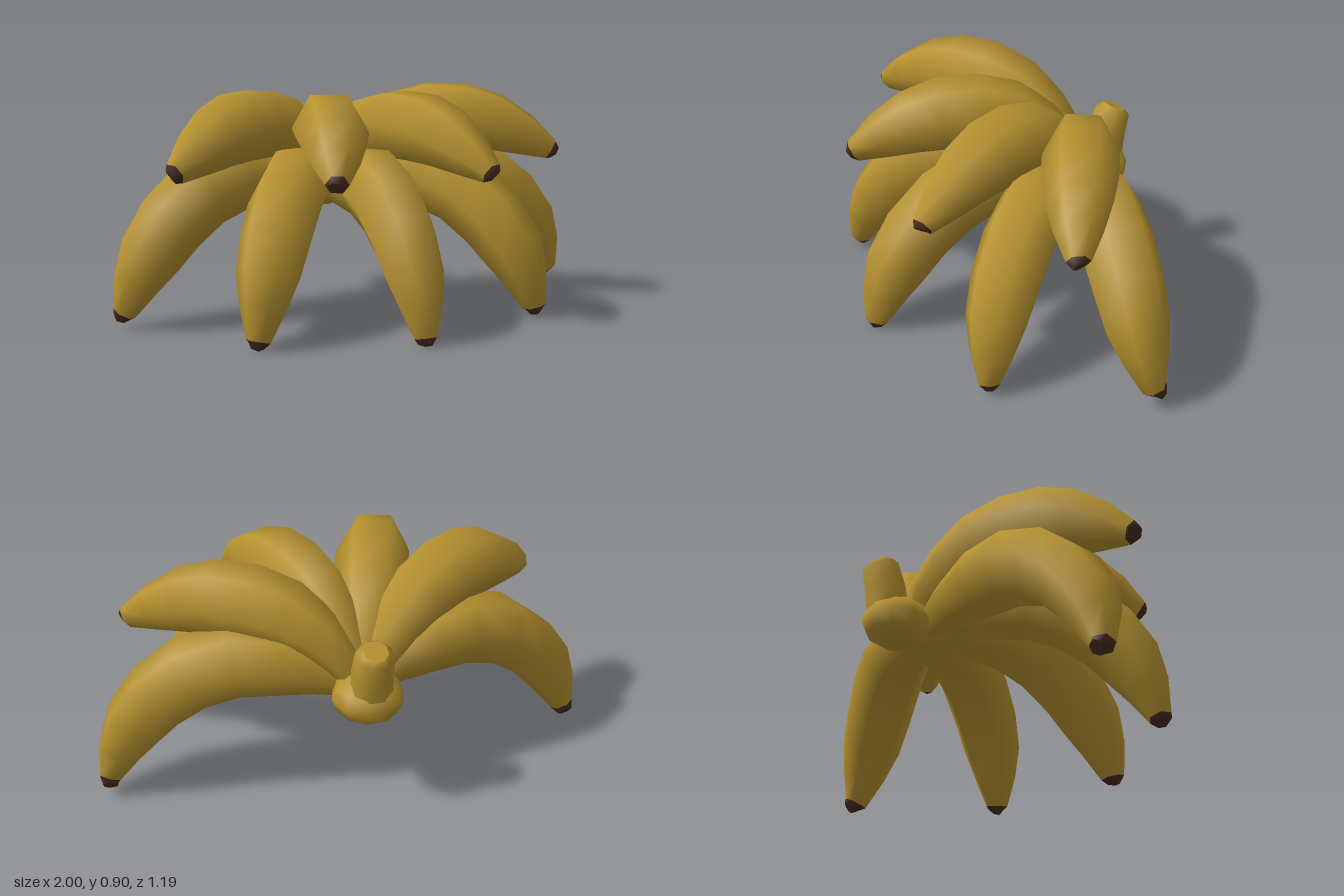
import * as THREE from 'three';

const peel = new THREE.MeshStandardMaterial({ color: 0xb5912f });
peel.name = 'peel';
const tipBrown = new THREE.MeshStandardMaterial({ color: 0x452a1e });
tipBrown.name = 'tipBrown';

const PIVOT = new THREE.Vector3(-0.006, 0, -0.43);

// Profiles: [distance from the crown, height, radius]
const LOWER = [
  [0.02, 0.475, 0.06], [0.15, 0.525, 0.1], [0.31, 0.555, 0.135], [0.47, 0.555, 0.147],
  [0.64, 0.49, 0.147], [0.775, 0.38, 0.14], [0.87, 0.26, 0.125], [0.93, 0.15, 0.092],
  [0.978, 0.032, 0.048], [0.985, 0.01, 0.03],
];
const UPPER = [
  [0.03, 0.50, 0.05], [0.08, 0.59, 0.08], [0.18, 0.68, 0.108], [0.31, 0.748, 0.136],
  [0.45, 0.775, 0.147], [0.6, 0.77, 0.145], [0.73, 0.74, 0.127], [0.86, 0.685, 0.092],
  [0.972, 0.626, 0.046], [0.99, 0.616, 0.032],
];
const STEM = [
  [0.05, 0.48, 0.082], [0.068, 0.62, 0.08], [0.093, 0.708, 0.074], [0.104, 0.73, 0.048],
];

// Sweeps a polygon ring along a profile at the given yaw; bow pushes its near part forward
function sweep(profile, yaw, sides, bow = 0) {
  const dir = new THREE.Vector3(Math.sin(yaw), 0, Math.cos(yaw));
  const across = new THREE.Vector3(-Math.cos(yaw), 0, Math.sin(yaw));
  const pos = [], index = [], n = profile.length;
  const centres = profile.map(([r, y], k) => {
    const c = dir.clone().multiplyScalar(r).setY(y).add(PIVOT);
    c.z += bow * Math.cos((Math.PI / 2) * (k / (n - 1)) ** 2);
    return c;
  });

  const addRing = (k) => {
    const T = centres[Math.min(k + 1, n - 1)].clone().sub(centres[Math.max(k - 1, 0)]).normalize();
    const N = across.clone().cross(T).normalize();
    const B = T.clone().cross(N);
    const radius = profile[k][2];
    for (let i = 0; i < sides; i++) {
      const t = ((i + 0.5) / sides) * Math.PI * 2;
      const p = centres[k].clone()
        .addScaledVector(N, radius * Math.cos(t)).addScaledVector(B, radius * Math.sin(t));
      pos.push(p.x, p.y, p.z);
    }
  };

  for (let k = 0; k < n; k++) addRing(k);
  for (let k = 0; k < n - 1; k++) {
    for (let i = 0; i < sides; i++) {
      const j = (i + 1) % sides, a = k * sides, b = a + sides;
      index.push(a + i, a + j, b + j, a + i, b + j, b + i);
    }
  }
  // Flat end cap with its own vertices
  const cap = n * sides;
  addRing(n - 1);
  for (let i = 1; i < sides - 1; i++) index.push(cap, cap + i, cap + i + 1);

  const geo = new THREE.BufferGeometry();
  geo.setAttribute('position', new THREE.Float32BufferAttribute(pos, 3));
  geo.setIndex(index);
  geo.computeVertexNormals();
  // The last band and the cap form the dark tip
  const bodyCount = (n - 2) * sides * 6;
  geo.addGroup(0, bodyCount, 0);
  geo.addGroup(bodyCount, index.length - bodyCount, 1);
  return geo;
}

function addBanana(group, name, profile, degrees, stretch, lift, bow) {
  const bent = profile.map(([r, y, radius]) => [r * stretch, y + lift * r, radius]);
  const geo = sweep(bent, THREE.MathUtils.degToRad(degrees), 6, bow);
  const mesh = new THREE.Mesh(geo, [peel, tipBrown]);
  mesh.name = name;
  group.add(mesh);
}

export function createModel() {
  const group = new THREE.Group();
  group.name = 'bananaBunch';

  // Lower row: [yaw in degrees, stretch, lift, bow]
  [[-75, 1.01, 0.045, 0.1], [-37.5, 1, 0.01, 0.05], [0, 1, 0, 0.03],
    [37.5, 1, 0.02, 0.05], [75, 1.015, 0.055, 0.1]]
    .forEach((shape, i) => addBanana(group, `lowerBanana${i + 1}`, LOWER, ...shape));

  // Upper row
  [[-57.5, 1, 0.02, 0.035], [-20, 0.99, 0, 0.03], [19, 0.99, 0, 0.03], [56.5, 1, 0.02, 0.035]]
    .forEach((shape, i) => addBanana(group, `upperBanana${i + 1}`, UPPER, ...shape));

  // Crown that joins the fruit
  const crown = new THREE.Mesh(new THREE.SphereGeometry(1, 10, 6), peel);
  crown.name = 'crown';
  crown.scale.set(0.14, 0.1, 0.145);
  crown.position.set(-0.006, 0.482, -0.438);
  group.add(crown);

  // Cut stem leaning backwards
  const stem = new THREE.Mesh(sweep(STEM, Math.PI, 8), [peel, peel]);
  stem.name = 'stem';
  group.add(stem);

  return group;
}
